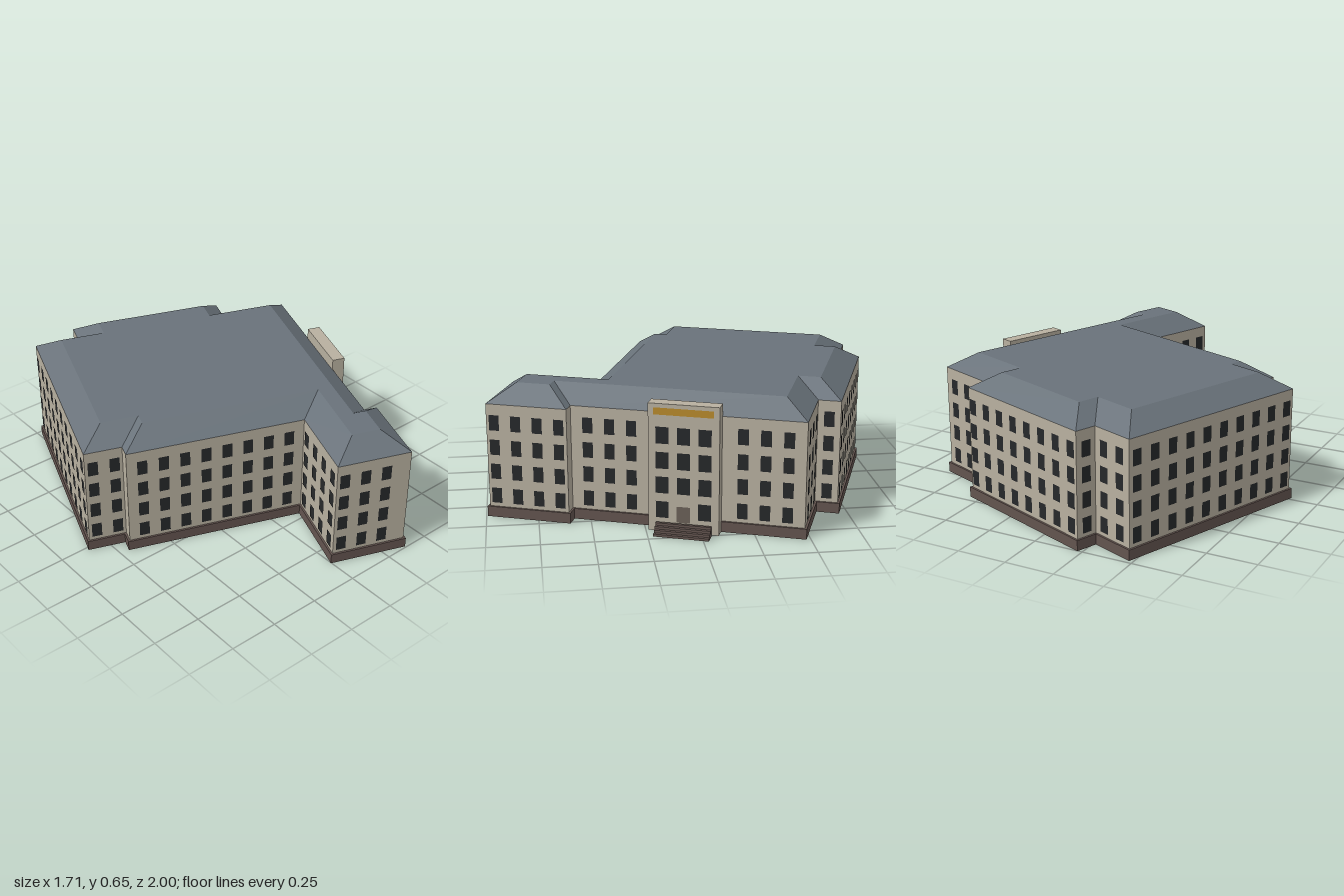
import * as THREE from 'three';
import { mergeGeometries } from 'three/addons/utils/BufferGeometryUtils.js';

const EAVE = 0.57, RIDGE = 0.65, PLINTH = 0.052;
const FLOORS = [0.11, 0.233, 0.355, 0.478];

// Footprint corners [x, z] in the building's own axes, each with the window columns of the wall that follows
const CORNERS = [
  [-0.785, -0.74, 2], [-0.555, -0.74, 1], [-0.555, -0.849, 8], [0.268, -0.849, 1],
  [0.268, -0.738, 3], [0.62, -0.738, 10], [0.62, 0.39, 0], [0.685, 0.39, 4],
  [0.685, 0.79, 3], [0.307, 0.79, 4], [0.307, 0.375, 8], [-0.597, 0.375, 0],
  [-0.597, 0.31, 2], [-0.785, 0.31, 10],
];
const FRONT_WALL = 5, WING_END = 8;

const paint = (name, color, side = THREE.FrontSide) => {
  const m = new THREE.MeshStandardMaterial({ color, side });
  m.name = name;
  return m;
};

// Outward normal of the wall from a to b
function normalOf(a, b) {
  const dx = b[0] - a[0], dz = b[1] - a[1], l = Math.hypot(dx, dz);
  return [dz / l, -dx / l];
}

// Footprint moved outwards by d with mitred (right-angled) corners
function offset(d) {
  const n = CORNERS.length;
  return CORNERS.map((p, i) => {
    const a = normalOf(CORNERS[(i + n - 1) % n], p), b = normalOf(p, CORNERS[(i + 1) % n]);
    return [p[0] + d * (a[0] + b[0]), p[1] + d * (a[1] + b[1])];
  });
}

// Band of flat quads joining a lower outline to an upper one
function band(low, y0, high, y1) {
  const pos = [];
  low.forEach((a, i) => {
    const j = (i + 1) % low.length;
    const a0 = [a[0], y0, a[1]], b0 = [low[j][0], y0, low[j][1]];
    const a1 = [high[i][0], y1, high[i][1]], b1 = [high[j][0], y1, high[j][1]];
    pos.push(...b0, ...a0, ...a1, ...b0, ...a1, ...b1);
  });
  const g = new THREE.BufferGeometry();
  g.setAttribute('position', new THREE.Float32BufferAttribute(pos, 3));
  g.computeVertexNormals();
  return g;
}

// Upright pane at x, y, z facing along n
function pane(w, h, x, y, z, n) {
  return new THREE.PlaneGeometry(w, h)
    .rotateY(Math.atan2(n[0], n[1]))
    .translate(x + n[0] * 0.003, y, z + n[1] * 0.003);
}

export function createModel() {
  const model = new THREE.Group();
  model.name = 'building';
  model.rotation.y = -20.6 * Math.PI / 180;

  const wall = paint('wall plaster', 0xb8b0a0, THREE.DoubleSide);
  const slate = paint('roof slate', 0x69727a, THREE.DoubleSide);
  const stone = paint('plinth stone', 0x63544f, THREE.DoubleSide);
  const glass = paint('window glass', 0x26282a);
  const gold = paint('sign gold', 0xb88a2c);
  const wood = paint('door wood', 0x6a6058);

  const add = (name, geometry, material, parent = model) => {
    const m = new THREE.Mesh(geometry, material);
    m.name = name;
    parent.add(m);
    return m;
  };
  const box = (x0, x1, y0, y1, z0, z1) => new THREE.BoxGeometry(x1 - x0, y1 - y0, z1 - z0)
    .translate((x0 + x1) / 2, (y0 + y1) / 2, (z0 + z1) / 2);

  // Shell and plinth
  const outline = offset(0), foot = offset(0.01), ridge = offset(-0.117);
  add('walls', band(outline, 0, outline, EAVE), wall);
  add('plinth', mergeGeometries([
    band(foot, 0, foot, PLINTH), band(foot, PLINTH, outline, PLINTH),
  ]), stone);

  // Hipped roof with a flat top
  add('roofSlopes', band(outline, EAVE, ridge, RIDGE), slate);
  const top = new THREE.Shape(ridge.map(([x, z]) => new THREE.Vector2(x, -z)));
  add('roofTop', new THREE.ShapeGeometry(top).rotateX(-Math.PI / 2).translate(0, RIDGE, 0), slate);

  // Windows, wall by wall
  const windows = new THREE.Group();
  windows.name = 'windows';
  model.add(windows);
  CORNERS.forEach((a, i) => {
    const count = a[2];
    if (!count) return;
    const b = CORNERS[(i + 1) % CORNERS.length], n = normalOf(a, b);
    const length = Math.hypot(b[0] - a[0], b[1] - a[1]), step = 0.107;
    const start = i === WING_END ? 0.124 : (length - step * (count - 1)) / 2;
    const panes = [];
    for (let k = 0; k < count; k++) {
      if (i === FRONT_WALL && k > 2 && k < 7) continue; // behind the entrance block
      const t = (start + step * k) / length;
      const x = a[0] + (b[0] - a[0]) * t, z = a[1] + (b[1] - a[1]) * t;
      for (const y of FLOORS) panes.push(pane(0.05, 0.077, x, y, z, n));
    }
    add('wallWindows', mergeGeometries(panes), glass, windows);
  });

  // Entrance block with windows, door and blank sign
  const entrance = new THREE.Group();
  entrance.name = 'entrance';
  model.add(entrance);
  const face = 0.68, mid = -0.172, out = [1, 0];
  add('entranceBlock', box(0.615, face, 0, 0.63, -0.342, -0.003), wall, entrance);
  const panes = [];
  for (const col of [-1, 0, 1]) {
    FLOORS.forEach((y, f) => {
      if (col || f) panes.push(pane(0.062, 0.082, face, y, mid + col * 0.102, out));
    });
  }
  add('entranceWindows', mergeGeometries(panes), glass, entrance);
  add('door', pane(0.066, 0.08, face, 0.09, mid, out), wood, entrance);
  add('signPanel', pane(0.286, 0.034, face, 0.594, mid, out), gold, entrance);

  // Steps
  const steps = [];
  for (let s = 0; s < 4; s++) {
    steps.push(box(0.692, 0.755 - s * 0.016, s * 0.0125, (s + 1) * 0.0125, -0.31, -0.043));
  }
  add('steps', mergeGeometries(steps), stone, entrance);

  const root = new THREE.Group();
  root.add(model);
  return root;
}
